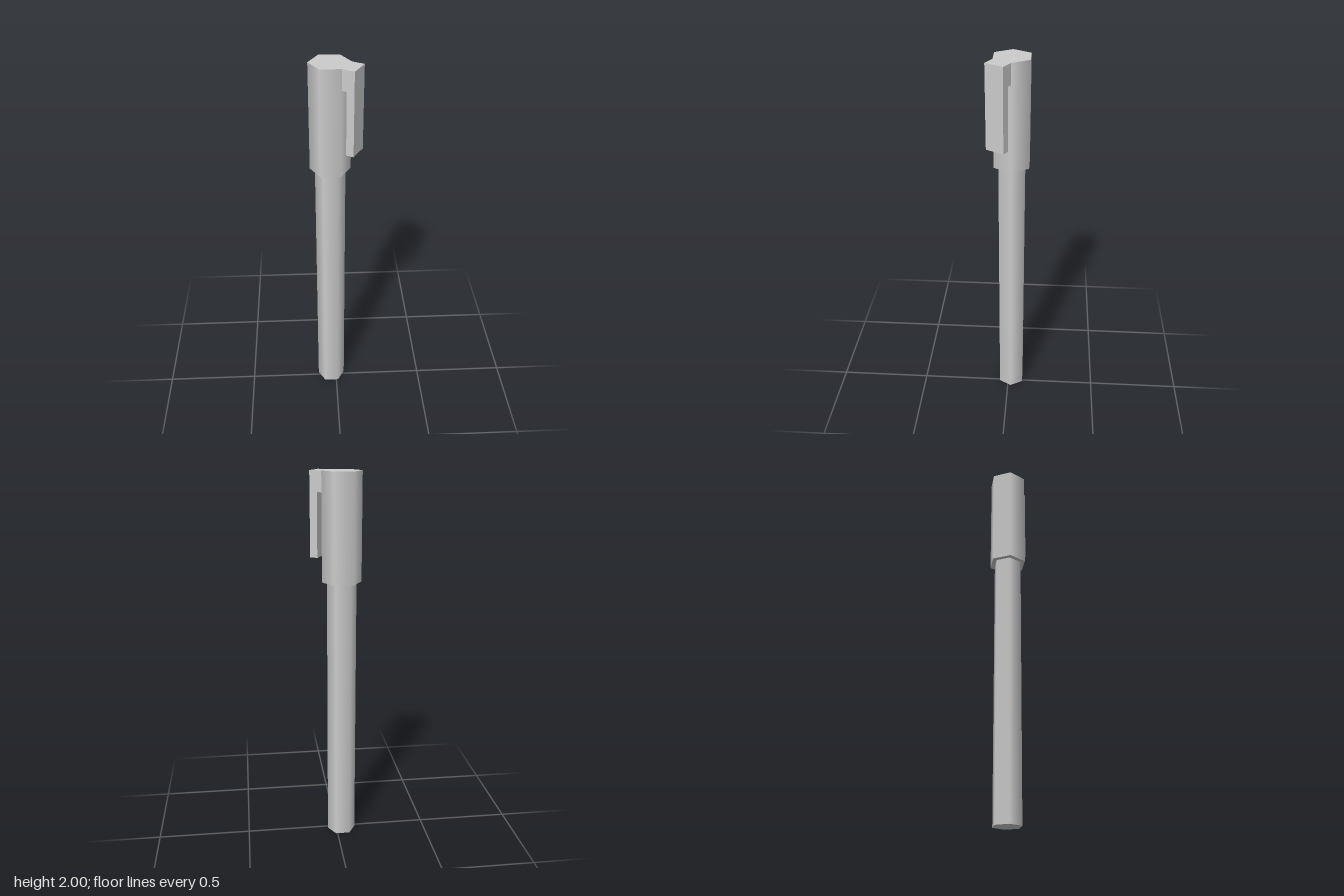
import * as THREE from 'three';

export function createModel() {
  const group = new THREE.Group();
  group.name = 'pen';
  const material = new THREE.MeshStandardMaterial({ color: 0xcccccc });
  const axisX = -0.0285, axisZ = -0.0175;

  // Six-sided bars with softly shaded sides
  function hexBar(name, radius, y0, y1) {
    const geometry = new THREE.CylinderGeometry(radius, radius, y1 - y0, 6, 1, false, Math.PI / 6);
    const mesh = new THREE.Mesh(geometry, material);
    mesh.name = name;
    mesh.position.set(axisX, (y0 + y1) / 2, axisZ);
    group.add(mesh);
  }
  hexBar('barrel', 0.077, 0, 1.46);
  hexBar('cap', 0.103, 1.442, 2);

  // Pocket clip: hook-shaped side profile, joined to one cap face at the top
  const inner = 0.086, gap = 0.114, outer = 0.154, width = 0.103;
  const profile = new THREE.Shape([
    [inner, 2], [inner, 1.895], [gap, 1.895], [gap, 1.567], [outer, 1.567], [outer, 2],
  ].map(([x, y]) => new THREE.Vector2(x, y)));
  const geometry = new THREE.ExtrudeGeometry(profile, { depth: width, bevelEnabled: false });
  geometry.translate(0, 0, -width / 2);
  const clip = new THREE.Mesh(geometry, material);
  clip.name = 'clip';
  clip.rotation.y = -Math.PI / 6;
  clip.position.set(axisX, 0, axisZ);
  group.add(clip);

  return group;
}
